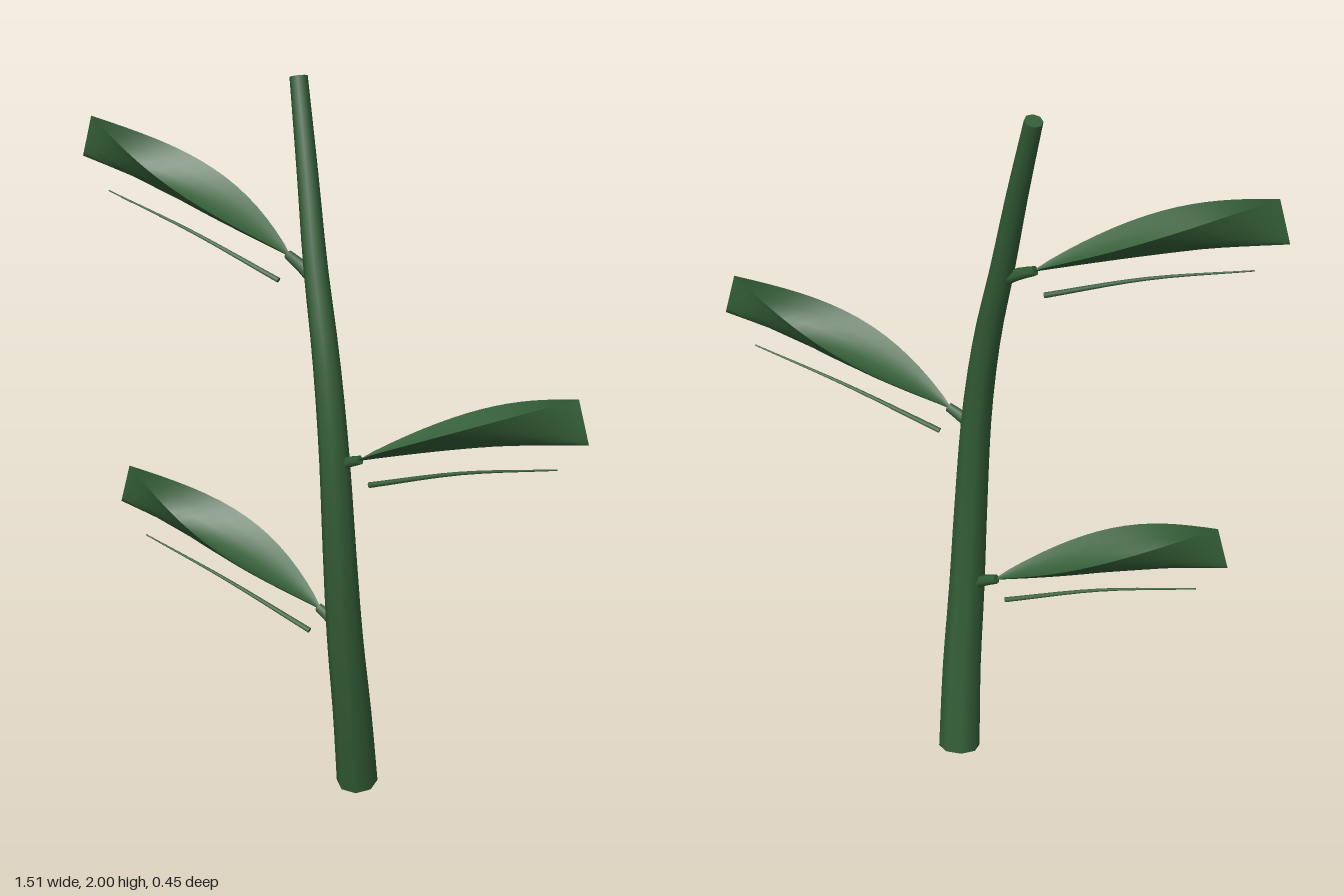
import * as THREE from 'three';

const green = new THREE.MeshStandardMaterial({ color: 0x335d36, side: THREE.DoubleSide });
green.name = 'leafGreen';

const vec = (p) => new THREE.Vector3(...p);

function part(geometry, name) {
  const mesh = new THREE.Mesh(geometry, green);
  mesh.name = name;
  return mesh;
}

// Tube along a curve whose radius runs from r0 to r1, closed at both ends
function taperedTube(points, r0, r1, segments, sides, name) {
  const curve = new THREE.CatmullRomCurve3(points.map(vec));
  const geometry = new THREE.TubeGeometry(curve, segments, 1, sides);
  const pos = geometry.attributes.position;
  const v = new THREE.Vector3();
  const group = new THREE.Group();
  group.name = name;
  for (let i = 0; i <= segments; i++) {
    const t = i / segments;
    const center = curve.getPointAt(t);
    const ring = [];
    for (let j = 0; j <= sides; j++) {
      const k = i * (sides + 1) + j;
      v.fromBufferAttribute(pos, k).sub(center).multiplyScalar(r0 + (r1 - r0) * t).add(center);
      pos.setXYZ(k, v.x, v.y, v.z);
      ring.push(v.clone());
    }
    if (i === 0 || i === segments) {
      const fan = [];
      for (let j = 0; j < sides; j++) {
        fan.push(center, ...(i === 0 ? [ring[j], ring[j + 1]] : [ring[j + 1], ring[j]]));
      }
      const cap = new THREE.BufferGeometry().setFromPoints(fan);
      cap.computeVertexNormals();
      group.add(part(cap, name + 'End'));
    }
  }
  group.add(part(geometry, name + 'Body'));
  return group;
}

// Cupped blade along +x: the width closes at both ends, the rims rise towards the tip
function bladeGeometry() {
  const geometry = new THREE.PlaneGeometry(1, 2, 16, 8);
  const pos = geometry.attributes.position;
  for (let i = 0; i < pos.count; i++) {
    const t = pos.getX(i) + 0.5;
    const u = -pos.getY(i);
    const halfWidth = 0.105 * Math.sin(Math.PI * Math.pow(t, 0.95));
    const cup = 0.12 * Math.pow(t, 0.8) * Math.pow(Math.abs(u), 1.7);
    const arch = 0.015 * Math.sin(Math.PI * t);
    pos.setXYZ(i, 0.685 * t, cup + arch, u * halfWidth);
  }
  geometry.computeVertexNormals();
  return geometry;
}

// One leaf, built for the +x side around its base point
function leaf(name) {
  const group = new THREE.Group();
  group.name = name;
  const blade = part(bladeGeometry(), 'blade');
  blade.rotation.set(0, 0.35, 0.27, 'YXZ');
  group.add(blade);
  group.add(taperedTube([[-0.08, -0.04, 0.01], [-0.03, -0.012, 0.003], [0.012, 0.006, -0.003]],
    0.02, 0.013, 4, 6, 'leafStalk'));
  group.add(taperedTube([[0.028, -0.065, -0.022], [0.28, 0.026, -0.115], [0.54, 0.097, -0.2]],
    0.008, 0.002, 10, 6, 'midrib'));
  return group;
}

export function createModel() {
  const model = new THREE.Group();
  model.name = 'leafyTwig';

  // Curved, tapering stem
  model.add(taperedTube([
    [0.045, 0.007, -0.085], [0.068, 0.25, -0.045], [0.077, 0.5, -0.01], [0.078, 0.75, 0.01],
    [0.06, 1.05, 0.016], [0.015, 1.3, 0.006], [-0.053, 1.53, -0.015], [-0.125, 1.76, -0.048],
    [-0.205, 1.993, -0.085],
  ], 0.058, 0.024, 24, 8, 'stem'));

  // Alternating leaves: those on the -x side are turned half round
  const leaves = [
    ['lowerLeaf', [-0.008, 0.55, 0], Math.PI],
    ['middleLeaf', [0.132, 1.04, 0], 0],
    ['upperLeaf', [-0.133, 1.535, 0], Math.PI],
  ];
  for (const [name, position, turn] of leaves) {
    const l = leaf(name);
    l.position.set(...position);
    l.rotation.y = turn;
    model.add(l);
  }
  return model;
}
